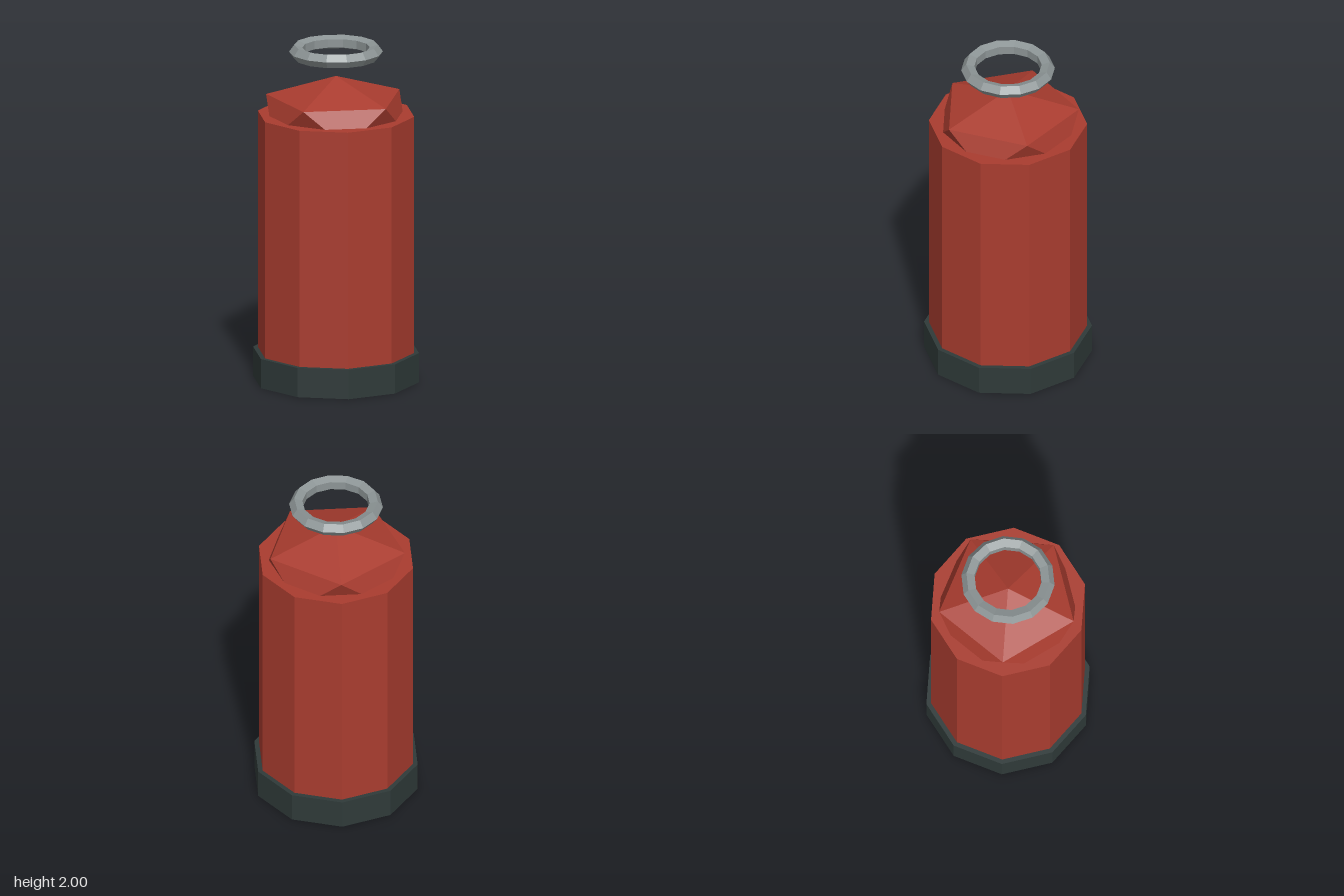
import * as THREE from 'three';
import { ConvexGeometry } from 'three/addons/geometries/ConvexGeometry.js';

const paint = (color) => new THREE.MeshStandardMaterial({ color, flatShading: true });

// Ten-sided drum with a corner on the x axis, standing between two heights.
function drum(radius, y0, y1) {
  return new THREE.CylinderGeometry(radius, radius, y1 - y0, 10)
    .rotateY(Math.PI / 2)
    .translate(0, (y0 + y1) / 2, 0);
}

// Squashed icosahedron with its poles on the y axis.
function squashedIcosahedron(radius, height) {
  const points = [new THREE.Vector3(0, height, 0), new THREE.Vector3(0, -height, 0)];
  const ring = (radius * 2) / Math.sqrt(5);
  const level = height / Math.sqrt(5);
  for (let i = 0; i < 10; i++) {
    const a = (i * Math.PI) / 5;
    points.push(new THREE.Vector3(ring * Math.cos(a), i % 2 ? -level : level, ring * Math.sin(a)));
  }
  return new ConvexGeometry(points);
}

export function createModel() {
  const group = new THREE.Group();
  group.name = 'canister';
  const red = paint(0xa93c2f);

  const add = (name, geometry, material) => {
    const mesh = new THREE.Mesh(geometry, material);
    mesh.name = name;
    group.add(mesh);
  };

  // Dark foot and red body
  add('base', drum(0.488, 0, 0.175), paint(0x2f3a39));
  add('body', drum(0.46, 0.05, 1.588), red);

  // Faceted cap, its lower half sunk into the body
  add('dome', squashedIcosahedron(0.46, 0.226).translate(0, 1.588, 0), red);

  // Five-sided ring floating above the cap
  const ring = new THREE.TorusGeometry(0.23, 0.0425, 5, 14).rotateX(-Math.PI / 2);
  add('handleRing', ring.translate(0, 1.96, 0), paint(0x8d9596));

  return group;
}
